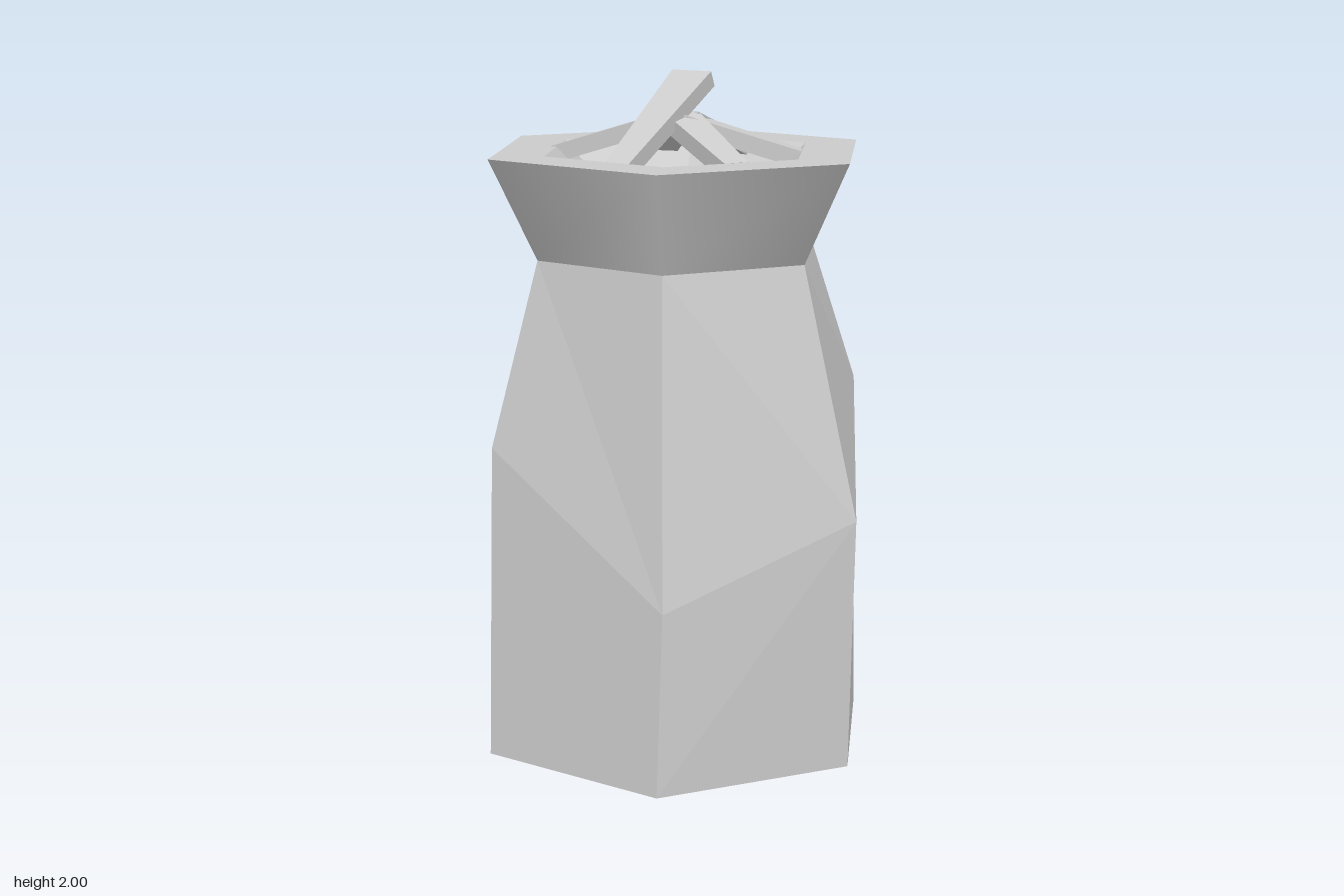
import * as THREE from 'three';

const CX = -0.012; // the hexagonal parts share this axis
const stone = new THREE.MeshStandardMaterial({ color: 0xcccccc, side: THREE.DoubleSide });
const flat = new THREE.MeshStandardMaterial({ color: 0xcccccc, flatShading: true, side: THREE.DoubleSide });

function add(group, name, geometry, material, y = 0, x = CX) {
  const mesh = new THREE.Mesh(geometry, material);
  mesh.name = name;
  mesh.position.set(x, y, 0);
  group.add(mesh);
  return mesh;
}

// Hexagonal ring of points, counter-clockwise seen from outside, starting front left
function hexRing(r, y) {
  return Array.from({ length: 6 }, (_, k) => {
    const a = ((120 - 60 * k) * Math.PI) / 180;
    return [CX + r * Math.cos(a), y, r * Math.sin(a)];
  });
}

// Faceted pedestal: even base and neck, uneven shoulder corners
function pedestalGeometry() {
  const base = hexRing(0.615, 0);
  const shoulder = [
    [-0.33, 0.93, 0.49], [0.3, 0.54, 0.51], [0.62, 0.75, 0],
    [0.29, 1.05, -0.51], [-0.31, 0.61, -0.52], [-0.615, 0.75, 0],
  ];
  const neck = hexRing(0.445, 1.48);
  const pos = [];
  const tri = (...corners) => corners.forEach((c) => pos.push(...c));
  for (const [low, high, highDiagonal] of [[base, shoulder], [shoulder, neck]]) {
    for (let i = 0; i < 6; i++) {
      const j = (i + 1) % 6;
      if (low === base) {
        tri(low[i], low[j], high[j]);
        tri(low[i], high[j], high[i]);
      } else {
        tri(low[i], low[j], high[i]);
        tri(high[i], low[j], high[j]);
      }
    }
  }
  for (let i = 1; i < 5; i++) tri(base[0], base[i + 1], base[i]); // underside
  const g = new THREE.BufferGeometry();
  g.setAttribute('position', new THREE.Float32BufferAttribute(pos, 3));
  g.computeVertexNormals();
  return g;
}

// Open hexagonal funnel with corners on the x axis
const funnel = (rTop, rBottom, h) =>
  new THREE.CylinderGeometry(rTop, rBottom, h, 6, 1, true, Math.PI / 2);

// Stick that widens from its outer end to its inner end; points lie on its top face
function addStick(group, outer, inner, wOuter, wInner) {
  const a = new THREE.Vector3(...outer), b = new THREE.Vector3(...inner);
  const thick = 0.05;
  const g = new THREE.BoxGeometry(1, thick, a.distanceTo(b));
  const p = g.attributes.position;
  for (let i = 0; i < p.count; i++) p.setX(i, p.getX(i) * (p.getZ(i) > 0 ? wInner : wOuter));
  g.translate(0, -thick / 2, 0);
  const stick = add(group, 'stick', g, flat);
  stick.position.copy(a).lerp(b, 0.5);
  stick.lookAt(b);
}

export function createModel() {
  const model = new THREE.Group();
  model.name = 'brazier';

  add(model, 'pedestal', pedestalGeometry(), flat, 0, 0);

  // Flared bowl: outer wall, flat lip, sloping inside and floor
  const bowl = new THREE.Group();
  bowl.name = 'bowl';
  model.add(bowl);
  add(bowl, 'bowlOuterWall', funnel(0.592, 0.445, 0.3), stone, 1.63);
  add(bowl, 'bowlLip', new THREE.RingGeometry(0.42, 0.592, 6).rotateX(-Math.PI / 2), flat, 1.78);
  add(bowl, 'bowlInnerWall', funnel(0.42, 0.25, 0.15), flat, 1.705);
  add(bowl, 'bowlFloor', new THREE.CircleGeometry(0.25, 6).rotateX(-Math.PI / 2), flat, 1.63);

  // Firewood leaning together over the bowl
  const firewood = new THREE.Group();
  firewood.name = 'firewood';
  model.add(firewood);
  const sticks = [
    [[0.015, 1.767, 0.345], [-0.045, 2.0, -0.115], 0.075, 0.13], // long front stick
    [[-0.025, 1.77, -0.37], [-0.02, 1.89, -0.03], 0.075, 0.12],
    [[0.29, 1.78, -0.2], [0.0, 1.885, -0.02], 0.075, 0.11],
    [[0.308, 1.78, 0.165], [0.0, 1.89, 0.0], 0.075, 0.11],
    [[-0.375, 1.78, 0.125], [-0.03, 1.895, 0.0], 0.08, 0.11],
    [[-0.258, 1.78, -0.27], [-0.03, 1.885, 0.0], 0.08, 0.11],
  ];
  for (const s of sticks) addStick(firewood, ...s);

  return model;
}
